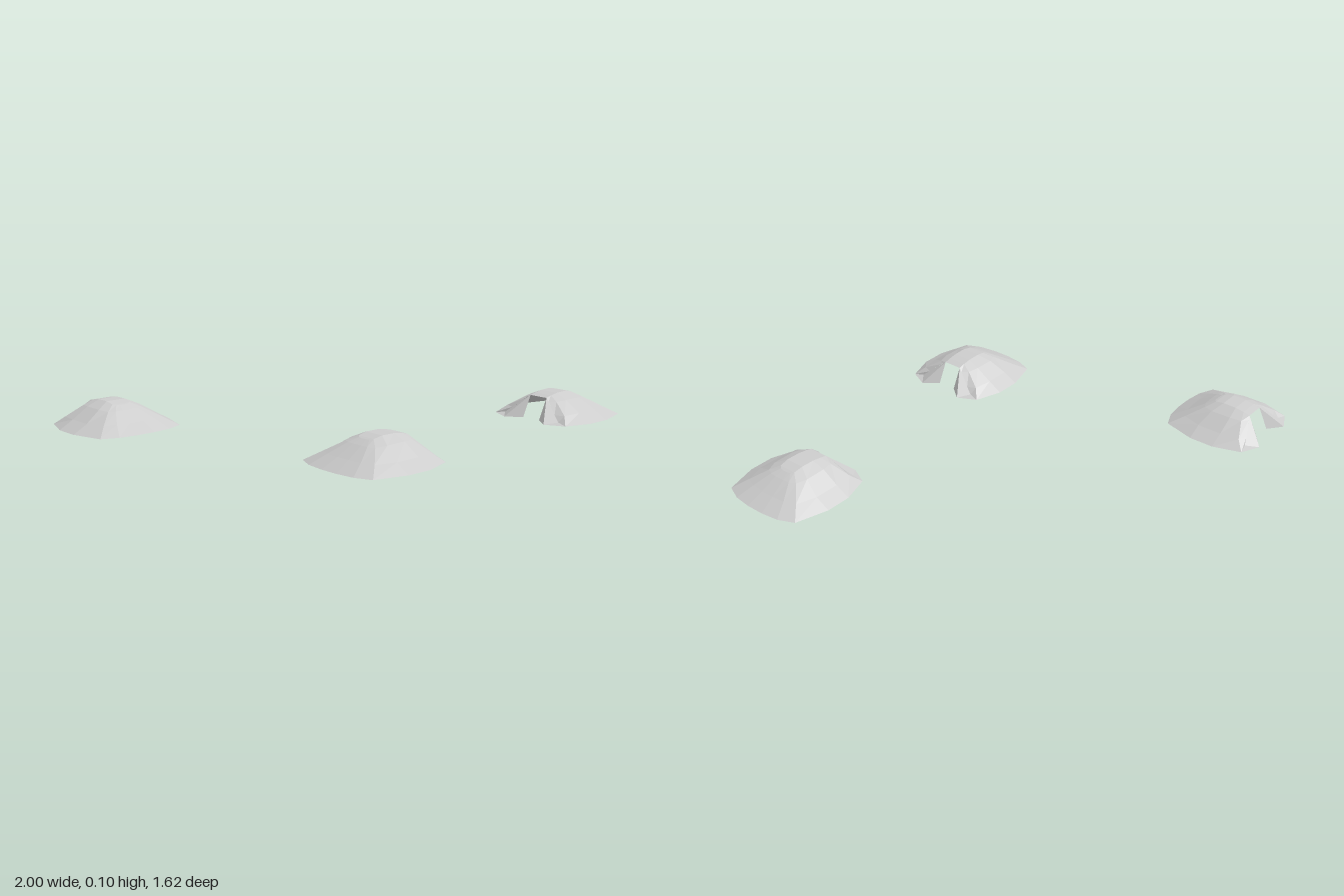
import * as THREE from 'three';

// Half of each horizontal ring of the tent skin, from the door seam round to the back: [x, y, z]
const RINGS = [
  [[0.145, 0.008, 0.175], [0.19, 0, 0.185], [0.23, 0, 0.065], [0.23, 0, -0.045], [0.19, 0, -0.185], [0.12, 0, -0.215], [0.04, 0, -0.225]],
  [[0.115, 0.032, 0.163], [0.155, 0.033, 0.148], [0.167, 0.035, 0.065], [0.167, 0.035, -0.045], [0.14, 0.035, -0.13], [0.09, 0.037, -0.15], [0.03, 0.037, -0.155]],
  [[0.06, 0.078, 0.137], [0.085, 0.078, 0.115], [0.096, 0.081, 0.065], [0.096, 0.08, -0.025], [0.08, 0.076, -0.07], [0.052, 0.077, -0.083], [0.022, 0.077, -0.086]],
  [[0.043, 0.091, 0.13], [0.043, 0.098, 0.1], [0.043, 0.104, 0.06], [0.043, 0.105, 0.0], [0.04, 0.097, -0.04], [0.028, 0.094, -0.05], [0.013, 0.093, -0.053]],
];
const FLAP_OUTER = [0.107, 0, 0.225];
const FLAP_INNER = [0.043, 0, 0.175];

const mirror = ([x, y, z]) => [-x, y, z];

function geometryFrom(triangles) {
  const geometry = new THREE.BufferGeometry();
  geometry.setAttribute('position', new THREE.Float32BufferAttribute(triangles.flat(2), 3));
  geometry.computeVertexNormals();
  return geometry;
}

// Domed skin: rings joined by quads, closed by a strip along the roof
function skinGeometry() {
  const rings = RINGS.map((half) => [...half, ...half.map(mirror).reverse()]);
  const triangles = [];
  const quad = (a, b, c, d) => triangles.push([a, b, c], [a, c, d]);
  for (let r = 0; r < rings.length - 1; r++) {
    for (let i = 0; i < rings[r].length - 1; i++) {
      quad(rings[r][i], rings[r][i + 1], rings[r + 1][i + 1], rings[r + 1][i]);
    }
  }
  const top = RINGS[3];
  for (let i = 0; i < top.length - 1; i++) {
    quad(top[i], top[i + 1], mirror(top[i + 1]), mirror(top[i]));
  }
  return geometryFrom(triangles);
}

// Door flap flaring out from the seam, for one side
function flapGeometry(side) {
  const seamFoot = RINGS[0][0], corner = RINGS[0][1], seamTop = RINGS[3][0];
  const triangles = [
    [corner, seamFoot, FLAP_OUTER],
    [seamFoot, seamTop, FLAP_OUTER],
    [FLAP_OUTER, seamTop, FLAP_INNER],
  ];
  return geometryFrom(side > 0 ? triangles : triangles.map(([a, b, c]) => [mirror(a), mirror(c), mirror(b)]));
}

export function createModel() {
  const model = new THREE.Group();
  model.name = 'tentCamp';
  const canvas = new THREE.MeshStandardMaterial({ color: 0xcccccc, flatShading: true, side: THREE.DoubleSide });
  canvas.name = 'canvas';

  const skin = skinGeometry();
  const flaps = { leftFlap: flapGeometry(1), rightFlap: flapGeometry(-1) };

  // Three tents, each with its door turned a different way
  const places = [
    ['backTent', -0.77, -0.585, Math.PI],
    ['frontRightTent', -0.388, 0.575, Math.PI / 2],
    ['frontLeftTent', 0.77, 0.515, -Math.PI / 2],
  ];
  for (const [name, x, z, turn] of places) {
    const tent = new THREE.Group();
    tent.name = name;
    tent.position.set(x, 0, z);
    tent.rotation.y = turn;
    for (const [part, geometry] of Object.entries({ tentSkin: skin, ...flaps })) {
      const mesh = new THREE.Mesh(geometry, canvas);
      mesh.name = part;
      tent.add(mesh);
    }
    model.add(tent);
  }
  return model;
}
